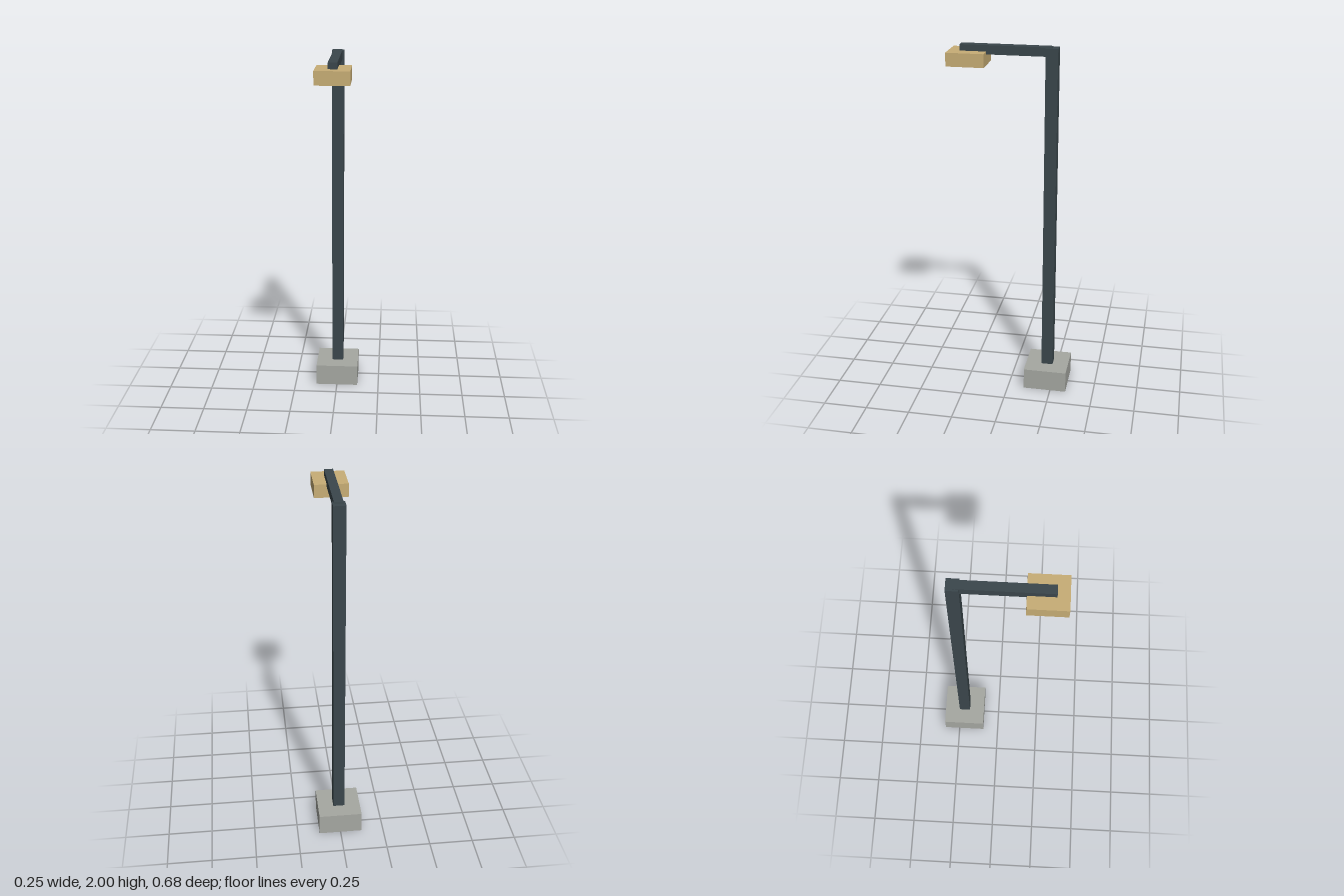
import * as THREE from 'three';

const material = (name, color) => {
  const m = new THREE.MeshStandardMaterial({ color });
  m.name = name;
  return m;
};

export function createModel() {
  const group = new THREE.Group();
  group.name = 'streetLamp';

  const concrete = material('concrete grey', 0xa6a8a2);
  const steel = material('dark steel', 0x3b474c);
  const glow = material('warm lamp', 0xc8ae76);

  // Box centred on x, given its size, bottom height and middle depth
  const addBox = (name, mat, [w, h, d], bottom, z) => {
    const mesh = new THREE.Mesh(new THREE.BoxGeometry(w, h, d), mat);
    mesh.name = name;
    mesh.position.set(0, bottom + h / 2, z);
    group.add(mesh);
  };

  // Footing and upright
  addBox('base', concrete, [0.246, 0.123, 0.246], 0, -0.217);
  addBox('post', steel, [0.066, 1.872, 0.066], 0.123, -0.217);

  // Arm reaching forward, with the lamp head hung under its end
  addBox('arm', steel, [0.049, 0.049, 0.492], 1.951, 0.03);
  addBox('lampHead', glow, [0.185, 0.073, 0.205], 1.893, 0.236);

  return group;
}
